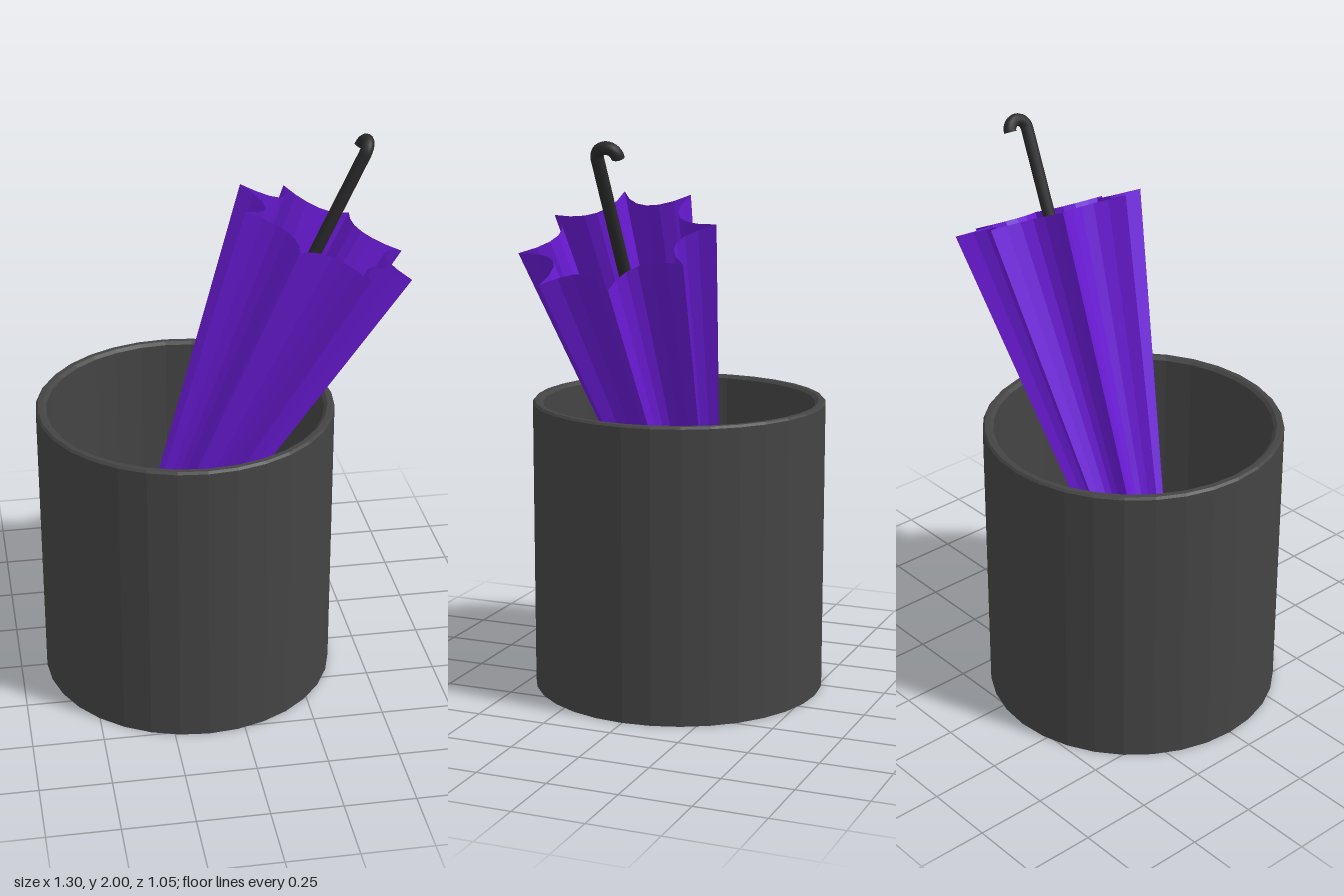
import * as THREE from 'three';

const RIBS = 8, STEPS = 6;

// Folded star outline: sharp ribs with cloth sagging inward between them
function starRing(radius, sag, y) {
  const ring = [];
  const rib = (i) => {
    const a = (-17 + i * 360 / RIBS) * Math.PI / 180;
    return new THREE.Vector3(radius * Math.cos(a), y, radius * Math.sin(a));
  };
  for (let i = 0; i < RIBS; i++) {
    const a = rib(i), b = rib(i + 1);
    const inward = a.clone().add(b).setY(0).normalize().negate();
    for (let k = 0; k < STEPS; k++) {
      const t = k / STEPS;
      ring.push(a.clone().lerp(b, t).addScaledVector(inward, sag * 4 * t * (1 - t)));
    }
  }
  return ring;
}

// Open cone lofted from the small star at the tip to the wide star at the rim
function canopyGeometry(length) {
  const n = RIBS * STEPS;
  const points = [
    ...starRing(0.025, 0.006, 0),
    ...starRing(0.337, 0.086, length),
    new THREE.Vector3(0, 0, 0),
  ];
  const index = [];
  for (let i = 0; i < n; i++) {
    const j = (i + 1) % n;
    index.push(i, n + i, j, j, n + i, n + j);
    index.push(2 * n, i, j);
  }
  const g = new THREE.BufferGeometry().setFromPoints(points);
  g.setIndex(index);
  g.computeVertexNormals();
  return g;
}

export function createModel() {
  const model = new THREE.Group();
  const add = (parent, name, geometry, material) => {
    const mesh = new THREE.Mesh(geometry, material);
    mesh.name = name;
    parent.add(mesh);
    return mesh;
  };
  const binMat = new THREE.MeshStandardMaterial({ color: 0x444444, flatShading: true });
  const clothMat = new THREE.MeshStandardMaterial({ color: 0x6a1bd6, flatShading: true, side: THREE.DoubleSide });
  const handleMat = new THREE.MeshStandardMaterial({ color: 0x2a2a2a });

  // Round stand with a bevelled lip and an inner floor
  const profile = [
    [0, 0], [0.525, 0], [0.525, 1.042], [0.518, 1.05],
    [0.5, 1.05], [0.488, 1.04], [0.488, 0.02], [0, 0.02],
  ].map(([x, y]) => new THREE.Vector2(x, y));
  add(model, 'stand', new THREE.LatheGeometry(profile, 32), binMat).position.x = -0.13;

  // Umbrella, built upright along y and then leaned against the lip
  const umbrella = new THREE.Group();
  umbrella.name = 'umbrella';
  const tip = new THREE.Vector3(-0.393, 0.035, -0.043);
  const rim = new THREE.Vector3(0.353, 1.67, 0.03);
  const axis = rim.clone().sub(tip);
  const length = axis.length();
  axis.normalize();
  const side = new THREE.Vector3(axis.y, -axis.x, 0).normalize();
  const depth = side.clone().cross(axis);
  umbrella.quaternion.setFromRotationMatrix(new THREE.Matrix4().makeBasis(side, axis, depth));
  umbrella.position.copy(tip);
  model.add(umbrella);

  add(umbrella, 'canopy', canopyGeometry(length), clothMat);

  // Shaft and hooked handle
  const r = 0.022, bend = 0.037, shaftTop = 2.1;
  add(umbrella, 'shaft', new THREE.CylinderGeometry(r, r, shaftTop - 0.15, 12, 1, true), handleMat)
    .position.y = (shaftTop + 0.15) / 2;
  const hook = add(umbrella, 'hook', new THREE.TorusGeometry(bend, r, 12, 14, Math.PI), handleMat);
  hook.rotation.y = Math.PI / 2;
  hook.position.set(0, shaftTop, -bend);
  const end = add(umbrella, 'hookEnd', new THREE.CircleGeometry(r, 12), handleMat);
  end.rotation.x = Math.PI / 2;
  end.position.set(0, shaftTop, -2 * bend);

  return model;
}
